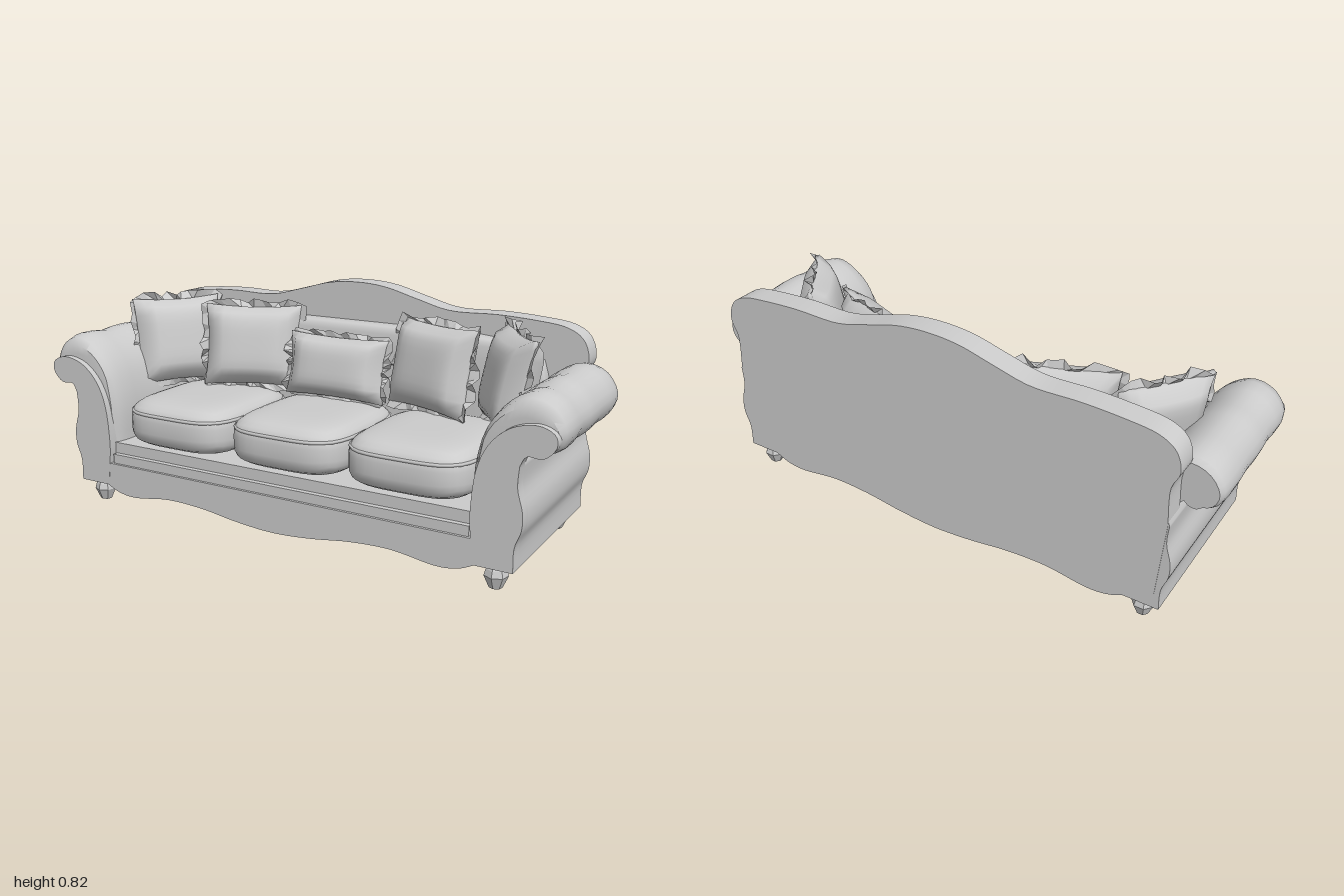
import * as THREE from 'three';
import { mergeVertices, toCreasedNormals } from 'three/addons/utils/BufferGeometryUtils.js';

const mat = new THREE.MeshStandardMaterial({ color: 0xcccccc });
const clothMat = new THREE.MeshStandardMaterial({ color: 0xcccccc, side: THREE.DoubleSide });

let seed = 7;
const rand = () => (seed = (seed * 16807) % 2147483647) / 2147483647;

function add(parent, name, geo, x = 0, y = 0, z = 0, material = mat) {
  const m = new THREE.Mesh(geo, material);
  m.name = name;
  m.position.set(x, y, z);
  parent.add(m);
  return m;
}

// Smooth open curve through [x, y] points
const smooth = (pts, n) =>
  new THREE.SplineCurve(pts.map(p => new THREE.Vector2(...p))).getPoints(n);

// Right half-outline mirrored into a full left-to-right row
const bothSides = half => [...half.slice(1).reverse().map(([x, y]) => [-x, y]), ...half];

// Slab with the given outline between two z values
function slab(points, z0, z1) {
  const geo = new THREE.ExtrudeGeometry(new THREE.Shape(points), { depth: z1 - z0, bevelEnabled: false });
  geo.translate(0, 0, z0);
  return toCreasedNormals(geo, 0.6);
}

// Subdivided cube reshaped by a rule, with welded smooth normals
function softBox(nx, ny, nz, rule) {
  let geo = new THREE.BoxGeometry(2, 2, 2, nx, ny, nz);
  geo.deleteAttribute('uv');
  geo.deleteAttribute('normal');
  const p = geo.attributes.position;
  for (let i = 0; i < p.count; i++) p.setXYZ(i, ...rule(p.getX(i), p.getY(i), p.getZ(i)));
  geo = mergeVertices(geo, 1e-4);
  geo.computeVertexNormals();
  return geo;
}

// Rounded block: larger power gives squarer sides
const puff = (w, h, d, power) => softBox(12, 8, 12, (x, y, z) => {
  const k = (Math.abs(x) ** power + Math.abs(y) ** power + Math.abs(z) ** power) ** (-1 / power);
  return [x * k * w / 2, y * k * h / 2, z * k * d / 2];
});

// Throw pillow with pinched corners and a tapering edge
const pillowGeo = (w, h, d) => softBox(10, 10, 2, (x, y, z) => [
  x * (w / 2) * (1 - 0.07 * (1 - y * y)),
  y * (h / 2) * (1 - 0.07 * (1 - x * x)),
  z * (d / 2) * (0.12 + 0.88 * Math.sqrt((1 - x ** 4) * (1 - y ** 4))),
]);

// Ragged fabric trim around a pillow's edge
function trimGeo(w, h) {
  const pos = [], idx = [], n = 44;
  for (let i = 0; i < n; i++) {
    const a = (i / n) * Math.PI * 2, c = Math.cos(a), s = Math.sin(a);
    const k = 1 / Math.max(Math.abs(c), Math.abs(s));
    const x = c * k * w / 2, y = s * k * h / 2;
    const out = 1.01 + rand() * 0.13;
    pos.push(x * 0.9, y * 0.9, 0, x * out, y * out, (rand() - 0.5) * 0.05);
    const a0 = 2 * i, b0 = 2 * ((i + 1) % n);
    idx.push(a0, a0 + 1, b0 + 1, a0, b0 + 1, b0);
  }
  const geo = new THREE.BufferGeometry();
  geo.setAttribute('position', new THREE.Float32BufferAttribute(pos, 3));
  geo.setIndex(idx);
  return toCreasedNormals(geo, 0.3);
}

// Rolled arm: one cross-section swept along z, swelling between the tufts
function armRollGeo(side) {
  const section = smooth([[0.70, 0.24], [0.70, 0.38], [0.735, 0.51], [0.80, 0.595], [0.88, 0.632],
    [0.955, 0.605], [0.995, 0.535], [0.975, 0.47], [0.92, 0.445], [0.85, 0.44], [0.79, 0.25]], 30);
  if (side > 0) section.reverse();
  const cx = 0.84, cy = 0.49;
  const stations = [[-0.25, 0.55], [-0.25, 0.8], [-0.235, 0.92], [-0.19, 0.98], [-0.12, 0.99], [-0.05, 0.95],
    [0.02, 0.98], [0.08, 0.97], [0.14, 0.92], [0.19, 0.97], [0.25, 0.98], [0.29, 0.9], [0.31, 0.72], [0.312, 0.5]];
  const pos = [], idx = [], n = section.length;
  for (const [z, k] of stations)
    for (const p of section) {
      const ky = p.y < 0.45 ? 1 : k;
      pos.push(side * (cx + (p.x - cx) * (0.4 + 0.6 * k)), cy + (p.y - cy) * ky, z);
    }
  const last = (stations.length - 1) * n, c0 = last + n;
  pos.push(side * cx, cy, stations[0][0], side * cx, cy, stations.at(-1)[0]);
  for (let j = 0; j < n; j++) {
    const k = (j + 1) % n;
    for (let r = 0; r < last; r += n) idx.push(r + j, r + k, r + n + k, r + j, r + n + k, r + n + j);
    idx.push(c0, k, j, c0 + 1, last + j, last + k);
  }
  const geo = new THREE.BufferGeometry();
  geo.setAttribute('position', new THREE.Float32BufferAttribute(pos, 3));
  geo.setIndex(idx);
  return toCreasedNormals(geo, 0.7);
}

export function createModel() {
  const sofa = new THREE.Group();
  sofa.name = 'sofa';

  // Base with a scalloped lower edge running the full depth
  const scallop = smooth(bothSides([[0, 0.035], [0.15, 0.045], [0.3, 0.065], [0.45, 0.07],
    [0.6, 0.05], [0.68, 0.057], [0.735, 0.08]]), 60);
  const V = (x, y) => new THREE.Vector2(x, y);
  add(sofa, 'base', slab([...scallop, V(0.735, 0.165), V(-0.735, 0.165)], -0.335, 0.335));
  add(sofa, 'seatDeck', new THREE.BoxGeometry(1.44, 0.08, 0.6), 0, 0.2, 0.005);
  add(sofa, 'frontRail', new THREE.BoxGeometry(1.42, 0.035, 0.03), 0, 0.182, 0.31);

  // Humped back
  const backTop = smooth(bothSides([[0, 0.822], [0.12, 0.812], [0.25, 0.778], [0.38, 0.748], [0.55, 0.75],
    [0.7, 0.742], [0.8, 0.728], [0.86, 0.69], [0.88, 0.62], [0.855, 0.55], [0.86, 0.42]]), 90);
  add(sofa, 'back', slab([V(0.84, 0.14), V(-0.84, 0.14), ...backTop], -0.337, -0.25));
  add(sofa, 'backPadding', puff(1.5, 0.52, 0.12, 6), 0, 0.42, -0.24);

  // Arms: shaped side, scrolled front panel and padded roll
  const outer = [[0.86, 0.08], [0.86, 0.16], [0.88, 0.22], [0.88, 0.28], [0.862, 0.35], [0.865, 0.42]];
  const scroll = [[0.865, 0.42], [0.885, 0.452], [0.935, 0.452], [0.972, 0.49], [0.965, 0.53],
    [0.91, 0.55], [0.83, 0.53], [0.765, 0.47], [0.728, 0.38], [0.715, 0.25], [0.72, 0.165]];
  for (const side of [1, -1]) {
    const arm = new THREE.Group();
    arm.name = side > 0 ? 'leftArm' : 'rightArm';
    sofa.add(arm);
    const flip = pts => pts.map(p => V(side * p.x, p.y));
    const sideLine = smooth(outer, 20);
    add(arm, 'armSide', slab(flip([...sideLine, V(0.85, 0.45), V(0.76, 0.45), V(0.73, 0.08)]), -0.335, 0.29));
    add(arm, 'armFrontPanel',
      slab(flip([...sideLine, ...smooth(scroll, 40).slice(1), V(0.73, 0.08)]), 0.29, 0.336));
    add(arm, 'armRoll', armRollGeo(side));
  }

  // Faceted bun feet
  const footGeo = new THREE.LatheGeometry(
    [[0, 0], [0.022, 0.004], [0.04, 0.045], [0.034, 0.066], [0.022, 0.085], [0, 0.085]].map(p => V(...p)), 7);
  const footMat = mat.clone();
  footMat.flatShading = true;
  for (const x of [-0.79, 0.79])
    for (const z of [-0.288, 0.288]) add(sofa, 'foot', footGeo, x, 0, z, footMat);

  // Seat cushions with a welt around the middle
  for (const x of [-0.458, 0, 0.458]) {
    const cushion = new THREE.Group();
    cushion.name = 'seatCushion';
    cushion.position.set(x, 0.325, 0.06);
    sofa.add(cushion);
    add(cushion, 'cushionPad', puff(0.455, 0.185, 0.53, 4));
    const welt = [];
    for (let i = 0; i < 32; i++) {
      const a = (i / 32) * Math.PI * 2, c = Math.cos(a), s = Math.sin(a);
      const k = (c ** 4 + s ** 4) ** -0.25 * 0.98;
      welt.push(new THREE.Vector3(c * k * 0.2275, 0.045, s * k * 0.265));
    }
    add(cushion, 'cushionWelt', new THREE.TubeGeometry(new THREE.CatmullRomCurve3(welt, true), 48, 0.006, 5, true));
  }

  // Throw pillows: [x, y, z, width, height, thickness, yaw]
  const pillows = [[0, 0.53, -0.1, 0.4, 0.23, 0.15, 0]];
  for (const s of [1, -1])
    pillows.push([s * 0.375, 0.57, -0.115, 0.37, 0.31, 0.14, -s * 0.38],
      [s * 0.68, 0.575, -0.05, 0.34, 0.33, 0.14, -s * 0.95]);
  for (const [x, y, z, w, h, d, yaw] of pillows) {
    const pillow = new THREE.Group();
    pillow.name = 'throwPillow';
    pillow.position.set(x, y, z);
    pillow.rotation.set(-0.2, yaw, 0, 'YXZ');
    sofa.add(pillow);
    add(pillow, 'pillowPad', pillowGeo(w, h, d));
    add(pillow, 'pillowTrim', trimGeo(w, h), 0, 0, 0, clothMat);
  }
  return sofa;
}
